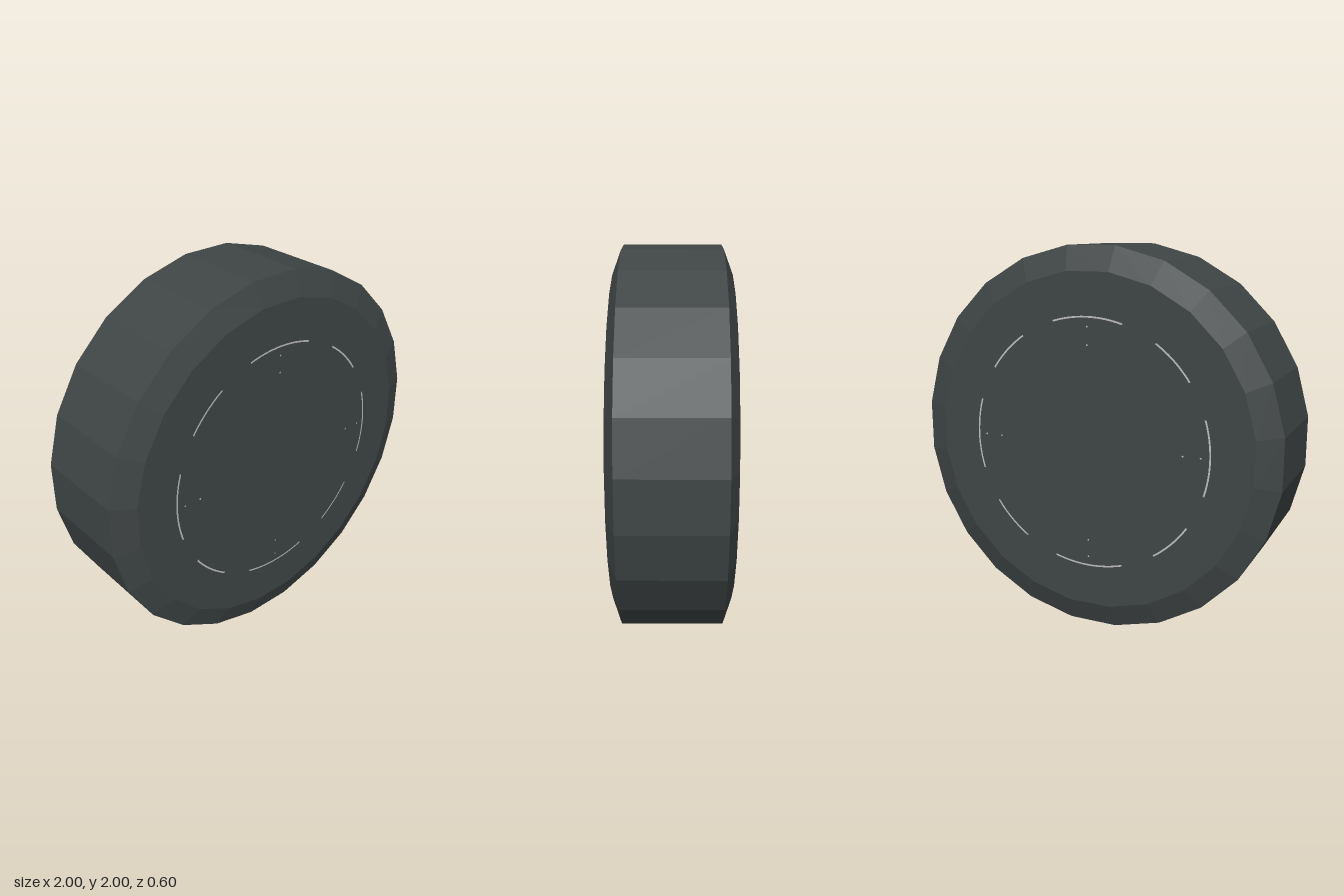
import * as THREE from 'three';

export function createModel() {
  const group = new THREE.Group();
  const rubber = new THREE.MeshStandardMaterial({ name: 'darkRubber', color: 0x3f4545, flatShading: true });
  const metal = new THREE.MeshStandardMaterial({ name: 'paleMetal', color: 0xbcbebc });

  // 24-sided tyre with bevelled shoulders and flat faces, resting on a flat side
  const sides = 24;
  const k = 1 / Math.cos(Math.PI / sides);
  const profile = [[0, -0.3], [0.875, -0.3], [1, -0.253], [1, 0.253], [0.875, 0.3], [0, 0.3]]
    .map(([r, y]) => new THREE.Vector2(r * k, y));
  const tyreGeo = new THREE.LatheGeometry(profile, sides, Math.PI / sides);
  tyreGeo.rotateX(Math.PI / 2);
  const tyre = new THREE.Mesh(tyreGeo, rubber);
  tyre.name = 'tyre';
  tyre.position.y = 1;
  group.add(tyre);

  // Thin broken rim line and tiny studs on each face
  for (const back of [false, true]) {
    const trim = new THREE.Group();
    trim.name = back ? 'backRimTrim' : 'frontRimTrim';
    trim.position.y = 1;
    trim.rotation.y = back ? Math.PI : 0;
    for (let i = 0; i < 8; i++) {
      const a = i * Math.PI / 4;
      const half = THREE.MathUtils.degToRad(i % 2 ? 11 : 17);
      const arc = new THREE.Mesh(new THREE.RingGeometry(0.651, 0.66, 12, 1, a - half, half * 2), metal);
      arc.name = 'rimArc';
      arc.position.z = 0.302;
      trim.add(arc);
      if (i % 2) continue;
      for (const r of [0.515, 0.607]) {
        const stud = new THREE.Mesh(new THREE.CircleGeometry(0.005, 8), metal);
        stud.name = 'rimStud';
        stud.position.set(r * Math.cos(a), r * Math.sin(a), 0.302);
        trim.add(stud);
      }
    }
    group.add(trim);
  }
  return group;
}
